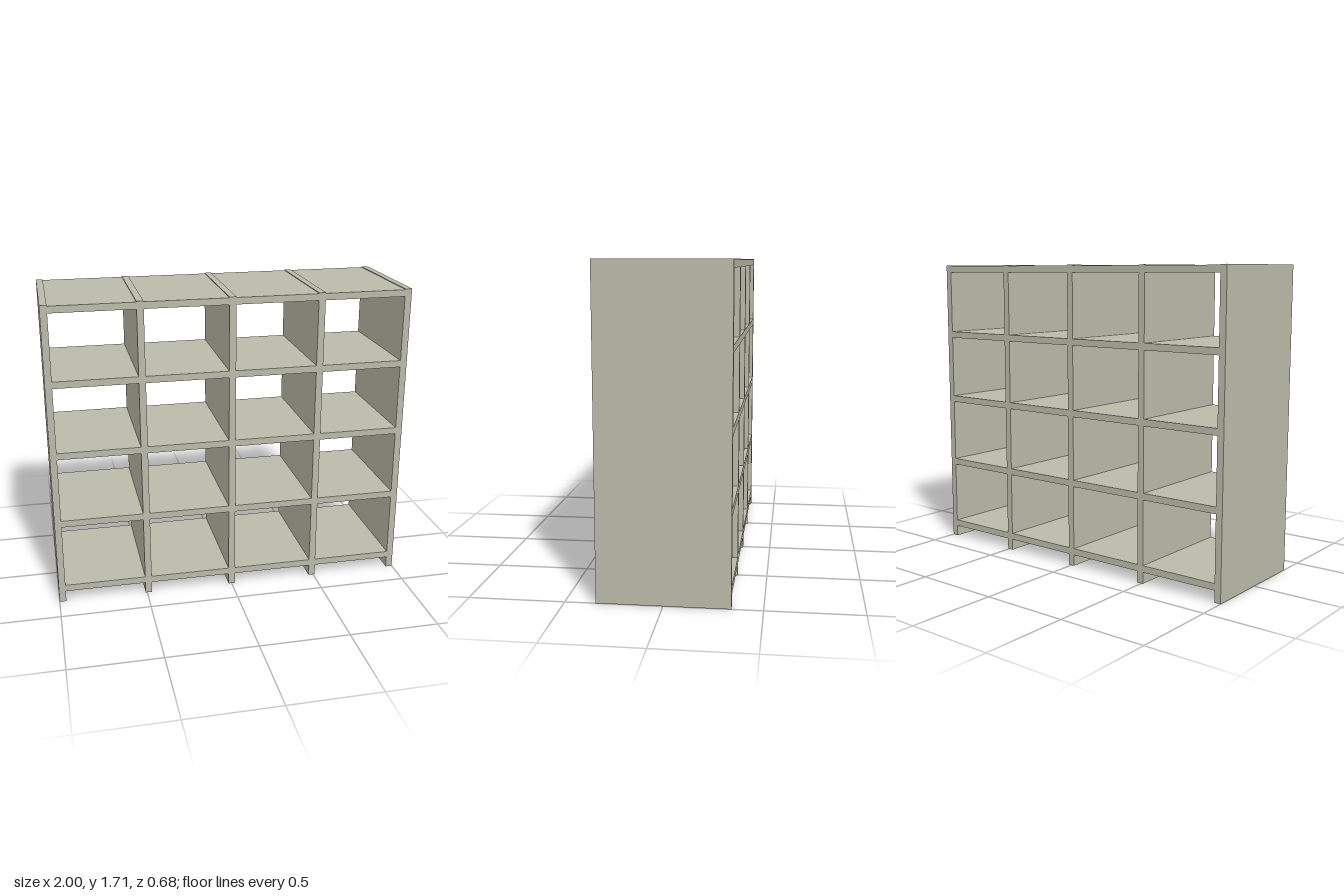
import * as THREE from 'three';

export function createModel() {
  const group = new THREE.Group();
  group.name = 'openShelfUnit';
  const paintedWood = new THREE.MeshStandardMaterial({ color: 0xbbbbaa });
  paintedWood.name = 'paintedWood';

  const height = 1.708, depth = 0.682, board = 0.0375;
  const pitch = 0.4906; // spacing of the uprights
  const firstShelf = 0.083, shelfStep = 0.4005;

  const addBoard = (name, w, h, x, y) => {
    const mesh = new THREE.Mesh(new THREE.BoxGeometry(w, h, depth), paintedWood);
    mesh.name = name;
    mesh.position.set(x, y, 0);
    group.add(mesh);
  };

  // Five full-height uprights, standing slightly proud of the top shelf
  for (let i = -2; i <= 2; i++) {
    const name = Math.abs(i) === 2 ? 'sidePanel' : 'divider';
    addBoard(name, board, height, i * pitch, height / 2);
  }

  // Five rows of shelves fitted between the uprights; the back is open
  for (let row = 0; row < 5; row++) {
    for (let bay = 0; bay < 4; bay++) {
      addBoard('shelf', pitch - board, board, (bay - 1.5) * pitch, firstShelf + row * shelfStep);
    }
  }
  return group;
}
